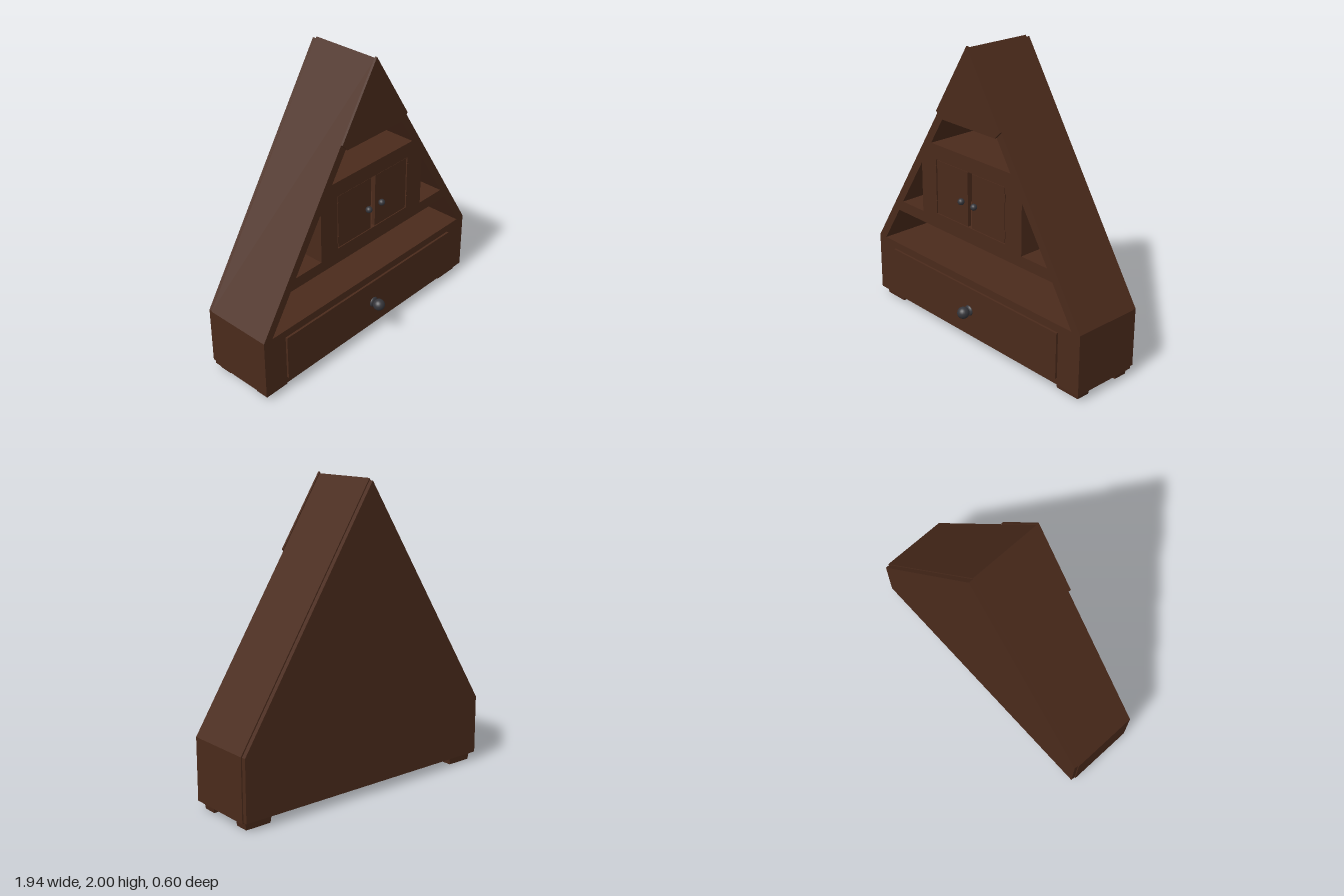
import * as THREE from 'three';

const wood = new THREE.MeshStandardMaterial({ color: 0x4a2a1b });
const iron = new THREE.MeshStandardMaterial({ color: 0x35353a });

// Closed path from [x, y] points
const trace = (pts, Type = THREE.Shape) => new Type(pts.map(([x, y]) => new THREE.Vector2(x, y)));
const mirrorX = (pts) => pts.map(([x, y]) => [-x, y]).reverse();

export function createModel() {
  const group = new THREE.Group();
  group.name = 'triangularCabinet';

  const add = (name, geometry, x = 0, y = 0, z = 0, material = wood) => {
    const mesh = new THREE.Mesh(geometry, material);
    mesh.name = name;
    mesh.position.set(x, y, z);
    group.add(mesh);
    return mesh;
  };
  // Flat board with its outline in x/y, between two depths
  const board = (name, pts, z0, z1, holes = []) => {
    const shape = trace(pts);
    shape.holes = holes.map((h) => trace(h, THREE.Path));
    return add(name, new THREE.ExtrudeGeometry(shape, { depth: z1 - z0, bevelEnabled: false }), 0, 0, z0);
  };

  // Carcass with its open shelves, side cubbies and cupboard opening
  const outline = [[-0.97, 0.05], [0.97, 0.05], [0.97, 0.46], [0, 1.99], [-0.97, 0.46]];
  const lowerShelf = [[-0.9, 0.46], [0.9, 0.46], [0.735, 0.72], [-0.735, 0.72]];
  const upperShelf = [[-0.37, 1.3], [0.37, 1.3], [0.25, 1.49], [-0.25, 1.49]];
  const cubby = [[0.47, 0.795], [0.69, 0.795], [0.47, 1.14]];
  const cupboard = [[-0.325, 0.825], [0.325, 0.825], [0.325, 1.2], [-0.325, 1.2]];
  board('carcass', outline, -0.27, 0.2, [lowerShelf, upperShelf, cubby, mirrorX(cubby), cupboard]);

  // Back panel, set in slightly from the carcass edge
  board('backPanel', [[-0.962, 0.058], [0.962, 0.058], [0.962, 0.457], [0, 1.977], [-0.962, 0.457]], -0.3, -0.27);

  // Raised gable front
  board('gable', [[-0.25, 1.49], [0.25, 1.49], [0.295, 1.535], [0, 2], [-0.295, 1.535]], 0.2, 0.215);

  // Drawer front and its knob
  add('drawerFront', new THREE.BoxGeometry(1.585, 0.312, 0.03), 0, 0.252, 0.2);
  add('drawerKnob', new THREE.SphereGeometry(0.04, 20, 14), 0, 0.244, 0.263, iron);
  const stem = add('drawerKnobStem', new THREE.CylinderGeometry(0.015, 0.015, 0.05, 12), 0, 0.244, 0.23, iron);
  stem.rotation.x = Math.PI / 2;
  const rosette = add('drawerKnobRosette', new THREE.SphereGeometry(0.036, 20, 12), 0, 0.244, 0.214, iron);
  rosette.scale.z = 0.5;

  // Feet taper towards the floor
  const footGeometry = new THREE.BoxGeometry(0.19, 0.05, 0.1);
  const p = footGeometry.attributes.position;
  for (let i = 0; i < p.count; i++) {
    if (p.getY(i) < 0) p.setXYZ(i, p.getX(i) * 0.92, p.getY(i), p.getZ(i) * 0.92);
  }
  footGeometry.computeVertexNormals();

  for (const [side, s] of [['left', 1], ['right', -1]]) {
    // Cupboard door with knob and two hinges
    add(`${side}Door`, new THREE.BoxGeometry(0.297, 0.367, 0.025), s * 0.1685, 1.0125, 0.185);
    add(`${side}DoorKnob`, new THREE.SphereGeometry(0.022, 14, 10), s * 0.06, 0.993, 0.219, iron);
    for (const y of [0.89, 1.13]) {
      add(`${side}Hinge`, new THREE.BoxGeometry(0.012, 0.05, 0.012), s * 0.325, y, 0.199);
    }
    for (const [end, z] of [['Front', 0.12], ['Back', -0.215]]) {
      add(`${side}${end}Foot`, footGeometry, s * 0.85, 0.025, z);
    }
  }
  return group;
}
